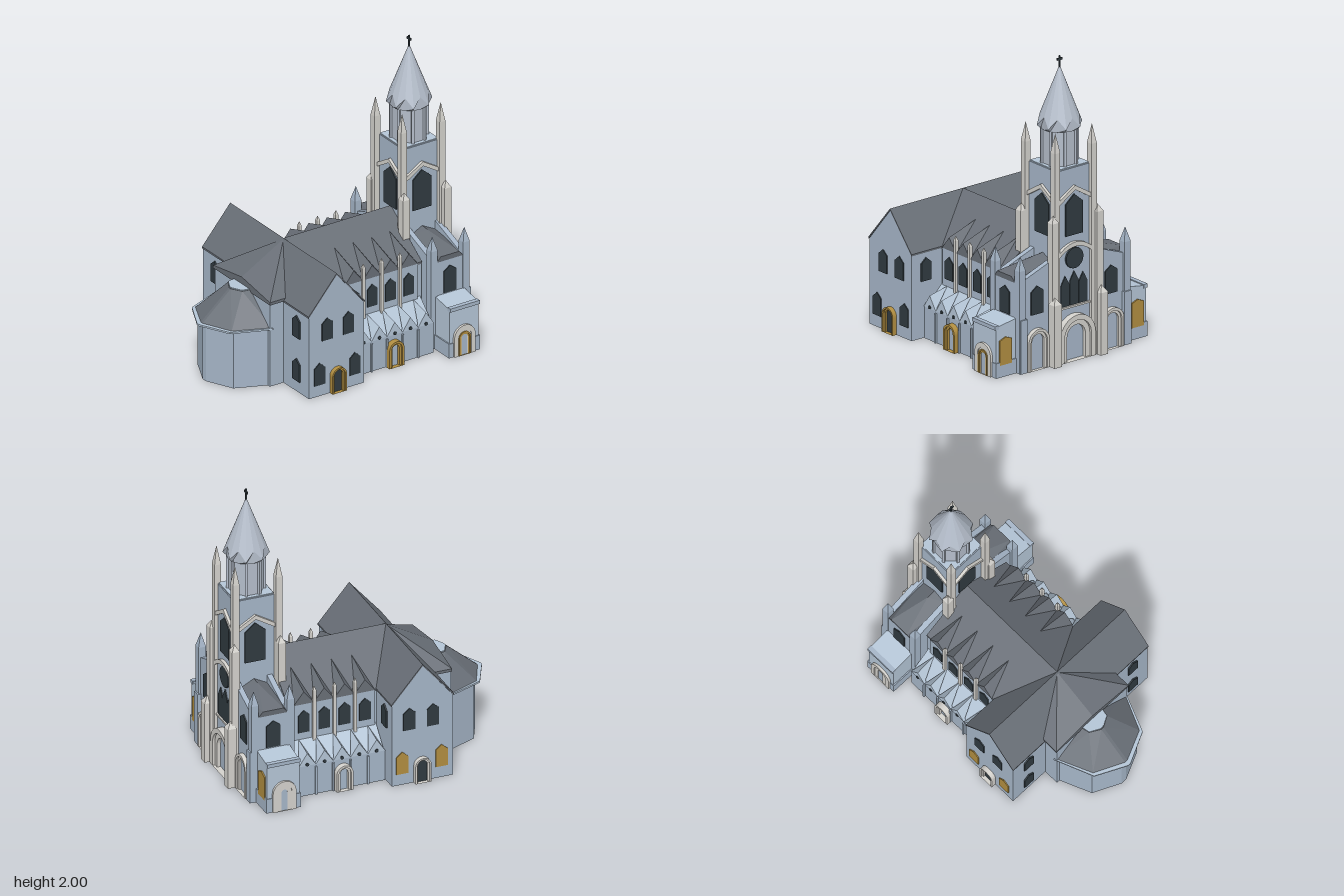
import * as THREE from 'three';
import { ConvexGeometry } from 'three/addons/geometries/ConvexGeometry.js';

const mat = (color) => new THREE.MeshStandardMaterial({ color, flatShading: true, side: THREE.DoubleSide });
const WALL = mat(0xa5b5c7), PALE = mat(0xb4c5d6), ROOF = mat(0x686e76), STONE = mat(0xd3d1cc);
const GOLD = mat(0xb08d40), DARK = mat(0x303a40), SPIRE = mat(0xb4bdca);
const PI = Math.PI;

export function createModel() {
  const root = new THREE.Group();
  const add = (name, geo, m, x = 0, y = 0, z = 0, ry = 0) => {
    const mesh = new THREE.Mesh(geo, m);
    mesh.name = name;
    mesh.position.set(x, y, z);
    mesh.rotation.y = ry;
    root.add(mesh);
    return mesh;
  };
  // box given by its limits
  const block = (name, m, x0, x1, y0, y1, z0, z1) =>
    add(name, new THREE.BoxGeometry(x1 - x0, y1 - y0, z1 - z0), m, (x0 + x1) / 2, (y0 + y1) / 2, (z0 + z1) / 2);
  const hull = (name, m, pts) => add(name, new ConvexGeometry(pts.map((p) => new THREE.Vector3(...p))), m);
  const poly = (pts) => new THREE.Shape(pts.map((p) => new THREE.Vector2(...p)));
  const extrude = (shape, depth) => new THREE.ExtrudeGeometry(shape, { depth, bevelEnabled: false, curveSegments: 10 });

  // details drawn facing +z, turned by ry to suit their wall
  const windowAt = (m, w, h, x, y, z, ry = 0, peak = 0.035) =>
    add('window', extrude(poly([[-w, 0], [w, 0], [w, h - peak], [0, h], [-w, h - peak]]), 0.012), m, x, y, z, ry);
  const archPath = (Type, w, h) => {
    const p = new Type();
    p.moveTo(-w, 0); p.lineTo(w, 0); p.lineTo(w, h - w);
    p.absarc(0, h - w, w, 0, PI, false);
    p.lineTo(-w, 0);
    return p;
  };
  const portal = (m, fill, w, h, t, depth, x, z, ry) => {
    [[1, 0, depth], [0.65, t * 0.5, depth * 0.65]].forEach(([, inset, d]) => {
      const s = archPath(THREE.Shape, w - inset, h - inset);
      s.holes.push(archPath(THREE.Path, w - inset - t / 2, h - inset - t / 2));
      add('doorArch', extrude(s, d), m, x, 0, z, ry);
    });
    add('door', extrude(archPath(THREE.Shape, w - t, h - t), 0.008), fill, x, 0, z, ry);
  };
  const chevron = (name, m, w, y, rise, t, depth, x, z, ry) =>
    add(name, extrude(poly([[-w, y], [0, y + rise], [w, y], [w, y + t], [0, y + rise + t], [-w, y + t]]), depth), m, x, 0, z, ry);
  const pinnacle = (name, m, x, z, w, y0, y1, tip) => {
    block(name, m, x - w, x + w, y0, y1, z - w, z + w);
    add(name + 'Tip', new THREE.ConeGeometry(w * 1.414, tip - y1, 4).rotateY(PI / 4), m, x, (y1 + tip) / 2, z);
  };
  const zigzag = (x0, n, w, low, valley, peak) => {
    const pts = [[x0, low], [x0 + n * w, low], [x0 + n * w, valley]];
    for (let i = n - 1; i >= 0; i--) pts.push([x0 + (i + 0.5) * w, peak], [x0 + i * w, valley]);
    return poly(pts);
  };

  // nave
  const house = (w, e, r) => poly([[-w, 0], [w, 0], [w, e], [0, r], [-w, e]]);
  add('nave', extrude(house(0.345, 0.57, 0.82), 0.82), WALL, -0.265, 0, 0, PI / 2);
  chevron('naveRoof', ROOF, 0.352, 0.568, 0.252, 0.015, 0.82, -0.265, 0, PI / 2);

  // transept
  add('transept', extrude(house(0.21, 0.575, 0.825), 1.19), WALL, -0.265, 0, -0.595);
  chevron('transeptRoof', ROOF, 0.215, 0.573, 0.25, 0.012, 1.2, -0.265, -0.6, 0);

  // choir with its falling roof
  block('choir', WALL, -0.58, -0.4, 0, 0.58, -0.31, 0.31);
  hull('choirRoof', ROOF, [[-0.265, 0.83, 0], [-0.585, 0.65, 0], ...[1, -1].flatMap((s) =>
    [[-0.585, 0.58, s * 0.32], [-0.4, 0.58, s * 0.32], [-0.585, 0.6, s * 0.32], [-0.4, 0.6, s * 0.32]])]);

  // apse
  const ring = (half, y) => half.flatMap(([x, z]) => [[x, y, z], [x, y, -z]]);
  const wallRing = [[-0.55, 0.3], [-0.785, 0.2], [-0.87, 0.02]];
  const eaveRing = [[-0.56, 0.32], [-0.82, 0.215], [-0.92, 0.01]];
  hull('apse', WALL, [...ring(wallRing, 0), ...ring(wallRing, 0.41)]);
  hull('apseEave', PALE, [...ring(eaveRing, 0.4), ...ring(eaveRing, 0.412)]);
  hull('apseRoof', ROOF, [...ring([[-0.56, 0.31], [-0.8, 0.205], [-0.89, 0.01]], 0.412),
    ...ring([[-0.56, 0.095], [-0.635, 0.08], [-0.675, 0.01]], 0.595)]);
  hull('apseRoofCap', PALE, [...ring([[-0.57, 0.09], [-0.635, 0.078], [-0.67, 0.01]], 0.592),
    ...ring([[-0.57, 0.09], [-0.635, 0.078], [-0.67, 0.01]], 0.602)]);

  for (const s of [1, -1]) {
    const ry = s > 0 ? 0 : PI;
    // clerestory: zigzag wall, dormer roofs, windows and buttresses
    const cw = 0.14, cx = -0.04;
    add('clerestoryWall', extrude(zigzag(cx, 4, cw, 0.2, 0.575, 0.66), 0.015), WALL, 0, 0, s > 0 ? 0.34 : -0.355);
    for (let i = 0; i < 4; i++) {
      const x = cx + (i + 0.5) * cw;
      hull('dormerRoof', ROOF, [[x - cw / 2, 0.58, s * 0.358], [x + cw / 2, 0.58, s * 0.358],
        [x, 0.668, s * 0.358], [x, 0.74, s * 0.14]]);
      windowAt(DARK, 0.039, 0.155, x, 0.38, s * 0.35, ry);
      if (i < 3) pinnacle('clerestoryButtress', STONE, x + cw / 2, s * 0.36, 0.011, 0.24, 0.67, 0.7);
    }
    // side aisle: lean-to roof behind a row of small gables
    const aw = 0.119, ax = -0.05;
    hull('aisle', PALE, [-0.05, 0.545].flatMap((x) =>
      [[x, 0, s * 0.3], [x, 0, s * 0.485], [x, 0.2, s * 0.485], [x, 0.34, s * 0.345], [x, 0.34, s * 0.3]]));
    add('aisleWall', extrude(zigzag(ax, 5, aw, 0, 0.215, 0.295), 0.015), WALL, 0, 0, s > 0 ? 0.48 : -0.495);
    for (let i = 0; i < 5; i++) {
      const x = ax + (i + 0.5) * aw;
      hull('aisleGableRoof', PALE, [[x - aw / 2, 0.215, s * 0.5], [x + aw / 2, 0.215, s * 0.5],
        [x, 0.303, s * 0.5], [x, 0.335, s * 0.355]]);
      add('roundWindow', new THREE.CylinderGeometry(0.012, 0.012, 0.01, 10).rotateX(PI / 2), DARK, x, 0.225, s * 0.5);
      if (i) block('aislePilaster', WALL, x - aw / 2 - 0.006, x - aw / 2 + 0.006, 0, 0.2, s * 0.5 - 0.008, s * 0.5 + 0.008);
    }
    const trim = s > 0 ? GOLD : STONE;
    portal(trim, WALL, 0.057, 0.18, 0.03, 0.04, 0.24, s * 0.495, ry);

    // transept end: door and windows
    portal(trim, DARK, 0.055, 0.175, 0.022, 0.035, -0.26, s * 0.592, ry);
    for (const k of [-1, 1]) {
      windowAt(DARK, 0.041, 0.155, -0.255 + k * 0.081, 0.385, s * 0.59, ry);
      windowAt(s > 0 ? DARK : GOLD, 0.041, 0.155, -0.26 + k * 0.135, 0.08, s * 0.59, ry);
    }
    windowAt(DARK, 0.04, 0.155, -0.473, 0.385, s * 0.46, -PI / 2);
    windowAt(DARK, 0.04, 0.155, -0.473, 0.08, s * 0.46, -PI / 2);
    windowAt(DARK, 0.04, 0.155, -0.057, 0.385, s * 0.48, PI / 2);

    // narthex wing beside the tower
    hull('narthexWing', WALL, [0.58, 0.82].flatMap((x) => [[x, 0, 0], [x, 0, s * 0.45], [x, 0.585, s * 0.45], [x, 0.62, 0]])
      .concat([[0.64, 0.635, s * 0.45], [0.76, 0.635, s * 0.45], [0.7, 0.66, 0]]));
    hull('narthexRoof', ROOF, [0.585, 0.815].flatMap((x) => [[x, 0.585, s * 0.448], [x, 0.65, s * 0.12]])
      .concat([[0.63, 0.638, s * 0.455], [0.77, 0.638, s * 0.455], [0.7, 0.705, s * 0.2], [0.7, 0.71, s * 0.12]]));
    for (const x of [0.575, 0.8])
      add('gableParapet', extrude(poly([[-0.1, 0], [-0.43, 0], [-0.43, 0.605], [-0.4, 0.62], [-0.1, 0.73]].map(([a, b]) => [a * s, b])), 0.036),
        WALL, x, 0, 0, PI / 2);
    windowAt(DARK, 0.048, 0.185, 0.7, 0.375, s * 0.445, ry);
    for (const x of [0.58, 0.825]) pinnacle('wingPinnacle', WALL, x, s * 0.43, 0.025, 0, 0.69, 0.785);
    block('wingButtress', WALL, 0.82, 0.86, 0, 0.36, s * 0.425 - 0.028, s * 0.425 + 0.028);

    // low side porch
    hull('porch', PALE, [0.588, 0.81].flatMap((x) =>
      [[x, 0, s * 0.4], [x, 0, s * 0.615], [x, 0.34, s * 0.615], [x, 0.375, s * 0.4]]));
    block('porchPlinth', WALL, 0.58, 0.818, 0, 0.1, s * 0.51 - 0.11, s * 0.51 + 0.11);
    block('porchCornice', WALL, 0.586, 0.812, 0.325, 0.35, s * 0.61 - 0.016, s * 0.61 + 0.016);
    portal(STONE, WALL, 0.08, 0.21, 0.06, 0.016, 0.695, s * 0.615, ry);
    if (s > 0) portal(GOLD, WALL, 0.045, 0.165, 0.02, 0.018, 0.695, 0.615, 0);
    windowAt(GOLD, 0.05, 0.185, 0.807, 0.08, s * 0.54, PI / 2, 0.02);

    // facade wing: side portal, window and stepped corner buttresses
    portal(STONE, WALL, 0.085, 0.275, 0.036, 0.035, 0.83, s * 0.305, PI / 2);
    windowAt(DARK, 0.049, 0.19, 0.832, 0.37, s * 0.303, PI / 2);
    pinnacle('towerButtressStep', STONE, 0.882, s * 0.19, 0.03, 0, 0.42, 0.465);
    for (const x of [0.535, 0.852]) pinnacle('towerButtress', STONE, x, s * 0.182, 0.026, 0, 0.96, 1.005);
    for (const x of [0.54, 0.835]) pinnacle('towerPinnacle', STONE, x, s * 0.15, 0.022, 0, 1.42, 1.55);
  }

  // tower
  block('tower', WALL, 0.555, 0.835, 0, 1.285, -0.14, 0.14);
  block('towerCornice', PALE, 0.562, 0.828, 1.28, 1.292, -0.133, 0.133);
  for (let i = 0; i < 4; i++) {
    const a = i * PI / 2, at = (d) => [0.695 + Math.sin(a) * d, Math.cos(a) * d];
    const [x, z] = at(0.137);
    windowAt(DARK, 0.07, 0.275, x, 0.835, z, a, 0.06);
    chevron('windowHood', STONE, 0.132, 1.06, 0.08, 0.03, 0.022, x, z, a);
  }
  // tower facade: main portal, triple lancets, rose and its hood
  portal(STONE, WALL, 0.145, 0.305, 0.07, 0.05, 0.83, 0, PI / 2);
  block('lancetSill', STONE, 0.83, 0.85, 0.35, 0.362, -0.125, 0.125);
  for (const k of [-1, 0, 1]) windowAt(DARK, 0.034, k ? 0.205 : 0.225, 0.83, 0.365, k * 0.073, PI / 2, 0.06);
  add('roseWindow', new THREE.CylinderGeometry(0.07, 0.07, 0.02, 24).rotateZ(PI / 2), DARK, 0.838, 0.68, 0);
  const hood = new THREE.Shape();
  hood.moveTo(-0.14, 0.7); hood.quadraticCurveTo(0, 0.82, 0.14, 0.7);
  hood.lineTo(0.14, 0.73); hood.quadraticCurveTo(0, 0.85, -0.14, 0.73);
  add('roseHood', extrude(hood, 0.025), STONE, 0.832, 0, 0, PI / 2);

  // belfry: eight-sided drum with corner shafts
  const cx = 0.695, N = 8;
  add('belfry', new THREE.CylinderGeometry(0.115, 0.115, 0.3, N).rotateY(PI / N), SPIRE, cx, 1.43, 0);
  for (let i = 0; i < N; i++) {
    const a = (i + 0.5) * 2 * PI / N;
    add('belfryShaft', new THREE.BoxGeometry(0.018, 0.27, 0.022), SPIRE, cx + Math.sin(a) * 0.115, 1.42, Math.cos(a) * 0.115, a);
  }
  // spire: sides end in a ring of gables, with a short skirt under them
  const spirePos = [];
  const rim = (i, skirt) => {
    const a = i * PI / N, odd = i % 2;
    const r = skirt ? 0.125 : odd ? 0.15 : 0.126;
    return [cx + Math.sin(a) * r, skirt ? 1.525 : odd ? 1.548 : 1.612, Math.cos(a) * r];
  };
  for (let i = 0; i < 2 * N; i++) {
    spirePos.push(...rim(i), ...rim(i + 1), cx, 1.94, 0);
    spirePos.push(...rim(i, 1), ...rim(i + 1, 1), ...rim(i + 1), ...rim(i, 1), ...rim(i + 1), ...rim(i));
  }
  const spire = new THREE.BufferGeometry();
  spire.setAttribute('position', new THREE.Float32BufferAttribute(spirePos, 3));
  spire.computeVertexNormals();
  add('spire', spire, SPIRE);

  // cross
  block('crossPost', DARK, cx - 0.005, cx + 0.005, 1.92, 2, -0.005, 0.005);
  block('crossArm', DARK, cx - 0.005, cx + 0.005, 1.97, 1.985, -0.02, 0.02);
  return root;
}
